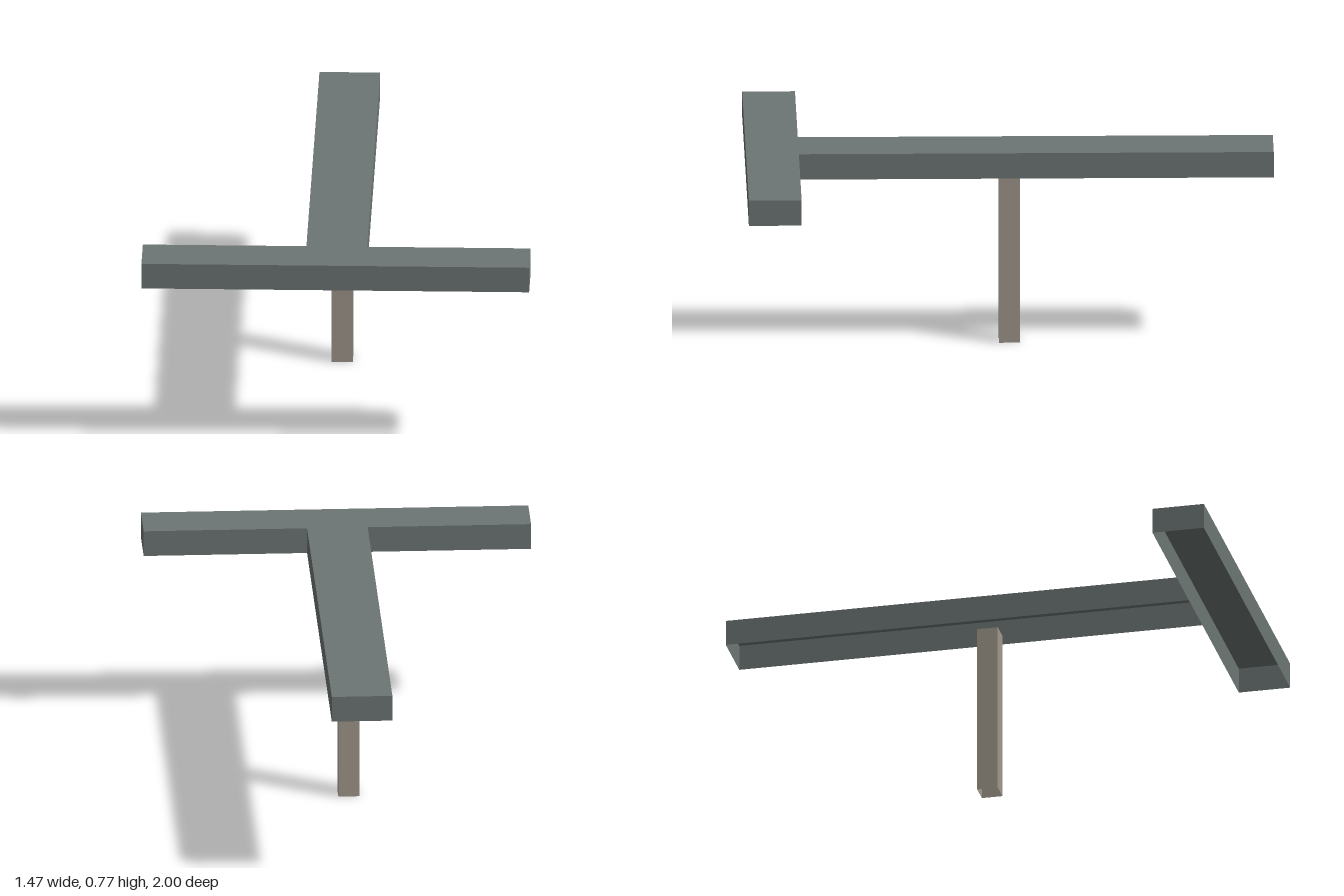
import * as THREE from 'three';

// Box shell, open underneath, spanning the given ranges
function openBox(name, [x0, x1], [y0, y1], [z0, z1], material) {
  const geometry = new THREE.BoxGeometry(x1 - x0, y1 - y0, z1 - z0);
  const index = Array.from(geometry.index.array);
  index.splice(18, 6); // remove the bottom face
  geometry.setIndex(index);
  geometry.clearGroups();
  const mesh = new THREE.Mesh(geometry, material);
  mesh.name = name;
  mesh.position.set((x0 + x1) / 2, (y0 + y1) / 2, (z0 + z1) / 2);
  return mesh;
}

export function createModel() {
  const slate = new THREE.MeshStandardMaterial({ color: 0x6d7674, side: THREE.DoubleSide });
  slate.name = 'slate grey';
  const stone = new THREE.MeshStandardMaterial({ color: 0xa1988c, side: THREE.DoubleSide });
  stone.name = 'warm stone';

  const base = 0.67, top = 0.77;
  const model = new THREE.Group();
  model.name = 'raisedWalkway';
  model.add(
    // Long deck running back, with a cross deck at the front
    openBox('longDeck', [-0.115, 0.115], [base, top], [-1, 0.8], slate),
    openBox('crossDeck', [-0.735, 0.735], [base, top], [0.8, 1], slate),
    // Central support
    openBox('supportPost', [-0.04, 0.04], [0, base], [-0.04, 0.04], stone),
  );
  return model;
}
